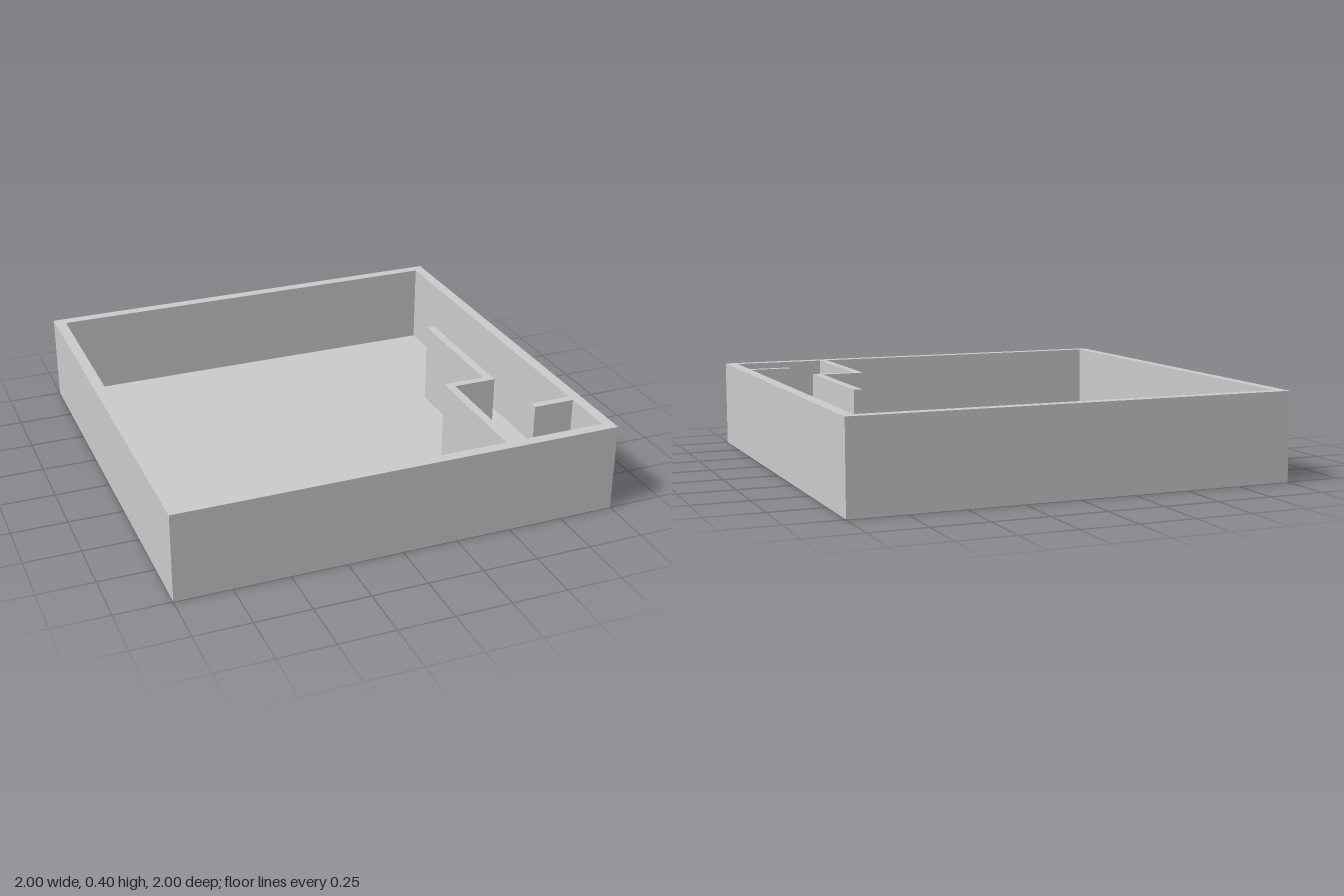
import * as THREE from 'three';

const HEIGHT = 0.4;
const FLOOR = 0.02;

// Inner outline of the walls as [x, z], following the partitions
const ROOM = [
  [-0.95, -0.95], [0.95, -0.95],
  [0.95, 0.667], [0.76, 0.667], [0.76, 0.705], [0.95, 0.705], // short stub wall
  [0.95, 0.95], [0.526, 0.95],
  [0.526, 0.39], [0.724, 0.39], [0.724, -0.246], [0.686, -0.246], // stepped partition
  [0.686, 0.353], [0.488, 0.353], [0.488, 0.95],
  [-0.95, 0.95],
];

const toPoints = (list) => list.map(([x, z]) => new THREE.Vector2(x, -z));

export function createModel() {
  const group = new THREE.Group();
  group.name = 'roomShell';
  const material = new THREE.MeshStandardMaterial({ color: 0xcccccc, flatShading: true });

  // Floor slab
  const floor = new THREE.Mesh(new THREE.BoxGeometry(2, FLOOR, 2), material);
  floor.name = 'floor';
  floor.position.y = FLOOR / 2;
  group.add(floor);

  // Outer walls and partitions, all flush at the top
  const plan = new THREE.Shape(toPoints([[-1, 1], [1, 1], [1, -1], [-1, -1]]));
  plan.holes.push(new THREE.Path(toPoints(ROOM)));
  const wallGeometry = new THREE.ExtrudeGeometry(plan, { depth: HEIGHT - FLOOR, bevelEnabled: false });
  wallGeometry.rotateX(-Math.PI / 2);
  const walls = new THREE.Mesh(wallGeometry, material);
  walls.name = 'walls';
  walls.position.y = FLOOR;
  group.add(walls);

  return group;
}
